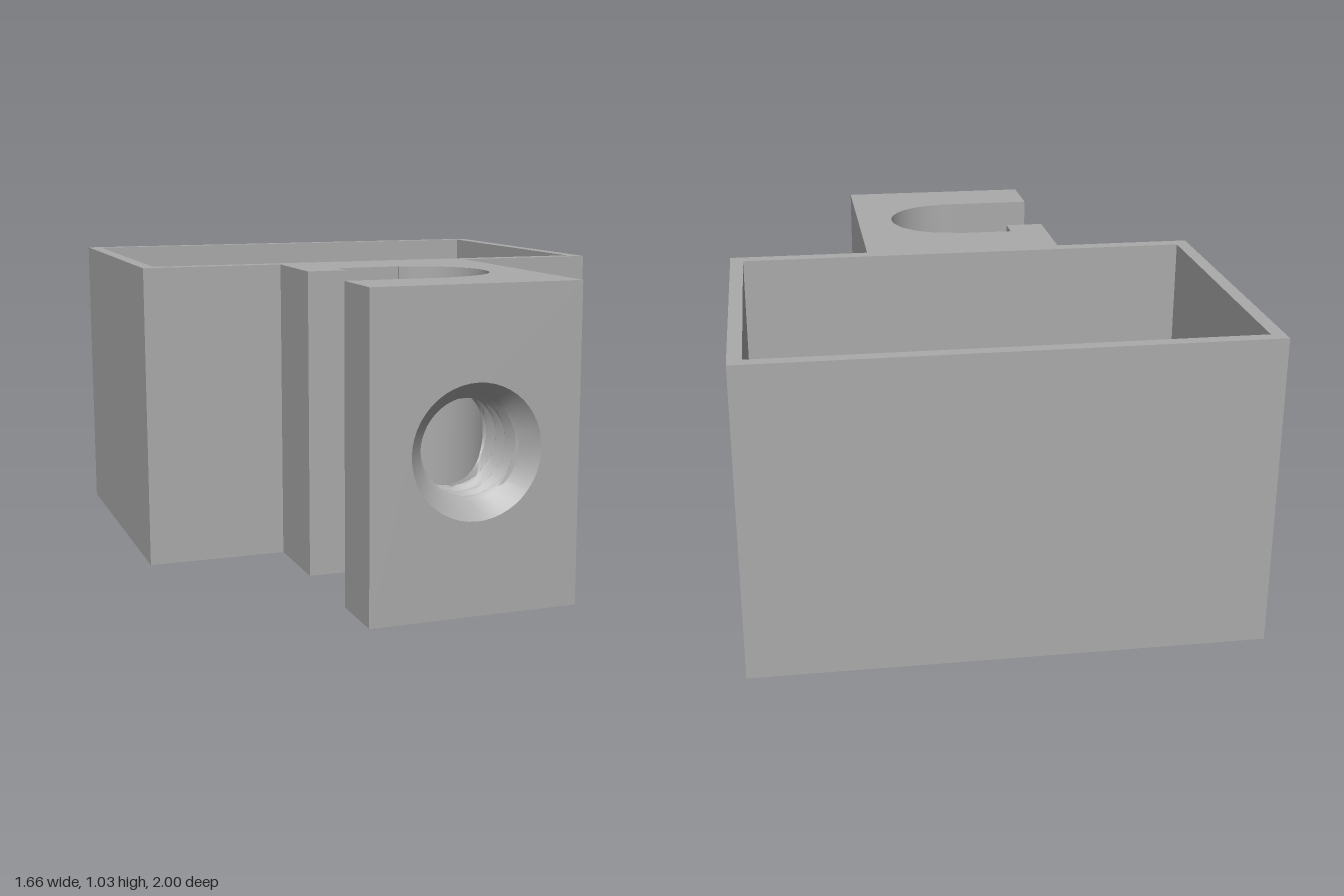
import * as THREE from 'three';
import { mergeGeometries, toCreasedNormals } from 'three/addons/utils/BufferGeometryUtils.js';

const H = 1.03;                       // overall height
const FLOOR = 0.04;                   // tray floor thickness
const HOLE_Y = 0.517, HOLE_R = 0.15;  // threaded hole
const ARC_Z = 0.555, ARC_R = 0.215;   // rounded end of the slot
const SEG = 48;

const fromPositions = (pos) => new THREE.BufferGeometry()
  .setAttribute('position', new THREE.Float32BufferAttribute(pos, 3));

// Back surface of the front jaw: flat on one half, curved on the other
const jawZ = (x) => (x < 1e-6 ? 0.78 : ARC_Z + Math.sqrt(Math.max(0, ARC_R ** 2 - x ** 2)));

// Horizontal face from [x, z] points
function cap(points, y, up, hole) {
  const s = up ? -1 : 1;
  const toVec = (list) => list.map(([x, z]) => new THREE.Vector2(x, s * z));
  const shape = new THREE.Shape(toVec(points));
  if (hole) shape.holes.push(new THREE.Path(toVec(hole)));
  const g = new THREE.ShapeGeometry(shape).rotateX(s * Math.PI / 2).translate(0, y, 0).toNonIndexed();
  g.deleteAttribute('uv');
  return g;
}

// Vertical walls along a closed outline, leaving the hole free where it breaks through
function walls(points, y0, y1, skip = () => false) {
  const pos = [];
  const quad = (p, q, pb, pt, qb, qt) => pos.push(
    p[0], pb, p[1], p[0], pt, p[1], q[0], qt, q[1],
    p[0], pb, p[1], q[0], qt, q[1], q[0], qb, q[1]);
  const inHole = (p) => Math.abs(p[0]) < HOLE_R + 1e-6 && p[1] > 0.6 && p[1] < 0.9;
  const gap = (p) => Math.sqrt(Math.max(0, HOLE_R ** 2 - p[0] ** 2));
  points.forEach((p, i) => {
    const q = points[(i + 1) % points.length];
    if (skip(p, q)) return;
    if (inHole(p) && inHole(q)) {
      quad(p, q, y0, HOLE_Y - gap(p), y0, HOLE_Y - gap(q));
      quad(p, q, HOLE_Y + gap(p), y1, HOLE_Y + gap(q), y1);
    } else quad(p, q, y0, y1, y0, y1);
  });
  return fromPositions(pos);
}

// Plan outline of tray and hooked clamp as [x, z]
function planOutline() {
  const pts = [[-0.83, -1], [0.83, -1], [0.83, 0.11], [0.345, 0.11], [0.345, 1], [-0.35, 1], [-0.35, 0.78]];
  for (let i = 0; i <= SEG / 2; i++) {
    const x = -HOLE_R * Math.cos(i * 2 * Math.PI / SEG);
    pts.push([x, jawZ(x)]);
    if (i === SEG / 4) pts.push([0, ARC_Z + ARC_R]);
  }
  const start = Math.asin(HOLE_R / ARC_R);
  for (let i = 1; i <= 28; i++) {
    const t = start + (Math.PI - start) * i / 28;
    pts.push([i === 28 ? 0 : ARC_R * Math.sin(t), ARC_Z + ARC_R * Math.cos(t)]);
  }
  pts.push([0, 0.33], [-0.215, 0.33], [-0.215, 0.42], [-0.35, 0.42], [-0.35, 0.11], [-0.83, 0.11]);
  return pts;
}

// Front of the jaw with the round opening
function frontFace() {
  const shape = new THREE.Shape([[-0.35, 0], [0.345, 0], [0.345, H], [-0.35, H]]
    .map(([x, y]) => new THREE.Vector2(x, y)));
  const opening = [];
  for (let i = 0; i < SEG; i++) {
    const a = i * 2 * Math.PI / SEG;
    opening.push(new THREE.Vector2(0.215 * Math.cos(a), HOLE_Y + 0.215 * Math.sin(a)));
  }
  shape.holes.push(new THREE.Path(opening));
  const g = new THREE.ShapeGeometry(shape).translate(0, 0, 1).toNonIndexed();
  g.deleteAttribute('uv');
  return g;
}

// Countersink followed by a helical thread, seen from inside
function threadedHole() {
  const rows = 64, pitch = 0.07, depth = 0.025, sinkZ = 0.945;
  const point = (j, i) => {
    const a = i * 2 * Math.PI / SEG;
    let r = 0.215, z = 1;
    if (j > 0) {
      const end = jawZ(HOLE_R * Math.cos(a));
      z = sinkZ + (end - sinkZ) * (j - 1) / (rows - 1);
      const turn = z / pitch - i / SEG;
      const wave = Math.abs(2 * (turn - Math.floor(turn)) - 1);
      r = j === rows ? HOLE_R : HOLE_R + depth * Math.min(1, wave * 1.3);
      if (j === 1) r = 0.165;
    }
    return [r * Math.cos(a), HOLE_Y + r * Math.sin(a), z];
  };
  const pos = [];
  for (let j = 0; j < rows; j++) {
    for (let i = 0; i < SEG; i++) {
      const a = point(j, i), b = point(j, i + 1), c = point(j + 1, i), d = point(j + 1, i + 1);
      pos.push(...a, ...b, ...c, ...b, ...d, ...c);
    }
  }
  return fromPositions(pos);
}

export function createModel() {
  const grey = new THREE.MeshStandardMaterial({ color: 0xaaaaaa });
  grey.name = 'grey';
  const model = new THREE.Group();
  model.name = 'trayWithClamp';
  const add = (name, parts) => {
    parts.forEach((g) => g.deleteAttribute('normal'));
    const mesh = new THREE.Mesh(toCreasedNormals(mergeGeometries(parts), 0.5), grey);
    mesh.name = name;
    model.add(mesh);
  };

  const outline = planOutline();
  const pocket = [[-0.785, -0.957], [-0.785, 0.06], [0.785, 0.06], [0.785, -0.957]];

  // Outer shell shared by tray and clamp
  const isFront = (p, q) => p[1] === 1 && q[1] === 1;
  add('shell', [walls(outline, 0, H, isFront), cap(outline, H, true, pocket), cap(outline, 0, false)]);
  // Inside of the tray
  add('trayPocket', [walls(pocket, FLOOR, H), cap(pocket, FLOOR, true)]);
  // Clamp front and its screw hole
  add('clampFront', [frontFace()]);
  add('threadedHole', [threadedHole()]);
  return model;
}
